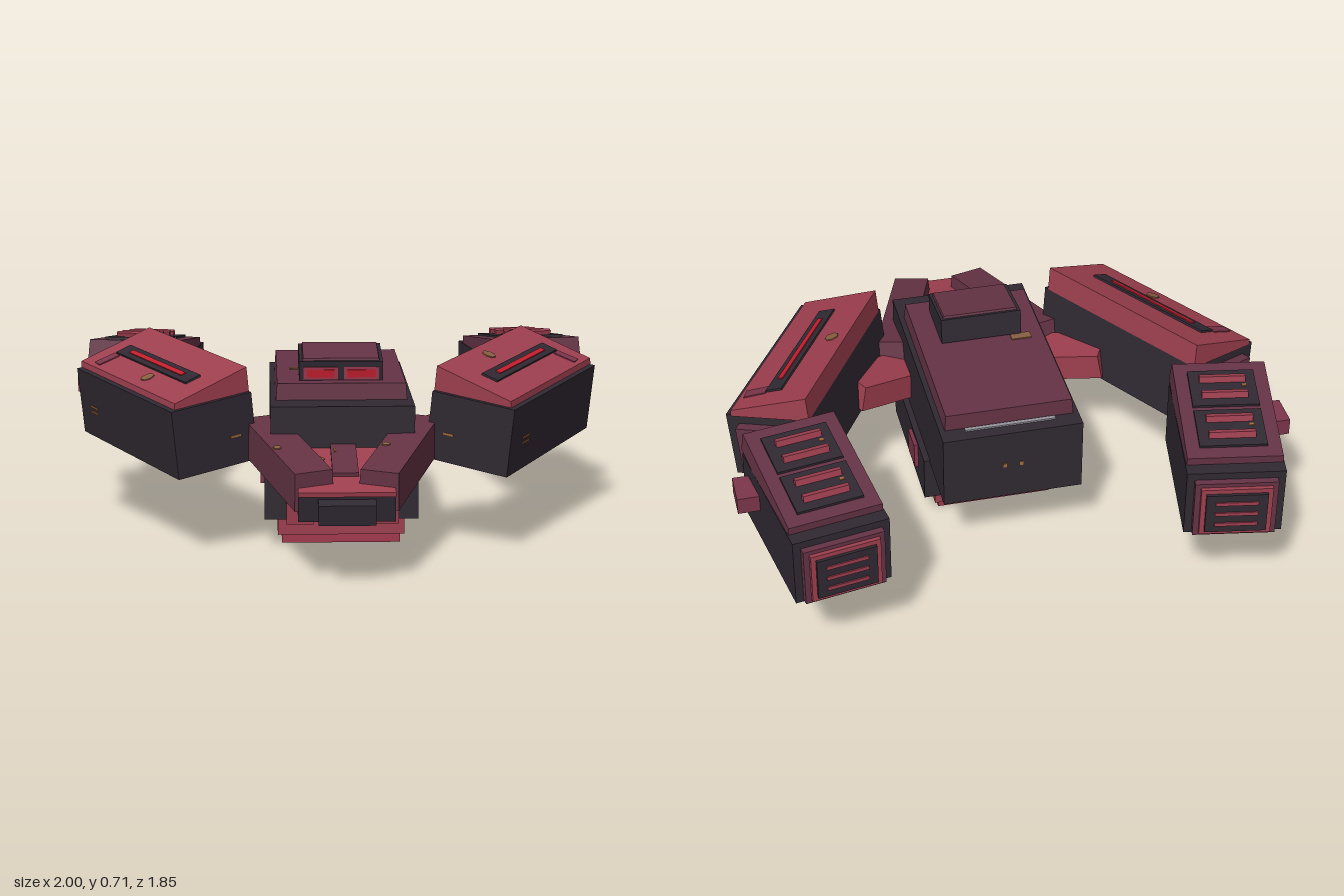
import * as THREE from 'three';

const mat = (name, color) => Object.assign(new THREE.MeshStandardMaterial({ color }), { name });
const dark = mat('charcoal', 0x302932);
const plum = mat('plum', 0x653345);
const maroon = mat('maroon', 0x7c364a);
const red = mat('worn red', 0x9e3f4f);
const crimson = mat('crimson', 0xa2384f);
const glow = mat('bright red', 0xc41f2d);
const grey = mat('joint grey', 0x98949e);
const rust = mat('rust', 0x8a5f42);
const orange = mat('orange mark', 0xa86c34);

// Box whose top face is narrowed by tx and tz
function block(parent, name, material, size, pos, rot = [0, 0, 0], tx = 1, tz = 1) {
  const g = new THREE.BoxGeometry(...size);
  const p = g.attributes.position;
  for (let i = 0; i < p.count; i++) {
    if (p.getY(i) > 0) p.setXYZ(i, p.getX(i) * tx, p.getY(i), p.getZ(i) * tz);
  }
  g.computeVertexNormals();
  const m = new THREE.Mesh(g, material);
  m.name = name;
  m.position.set(...pos);
  m.rotation.set(rot[0], rot[1], rot[2], 'YXZ');
  parent.add(m);
  return m;
}

function group(parent, name, pos, rot = [0, 0, 0]) {
  const g = new THREE.Group();
  g.name = name;
  g.position.set(...pos);
  g.rotation.set(rot[0], rot[1], rot[2], 'YXZ');
  parent.add(g);
  return g;
}

// Flat rust spot lying on an upper face
function spot(parent, pos, r) {
  const m = new THREE.Mesh(new THREE.CylinderGeometry(r, r, 0.008, 7), rust);
  m.name = 'rustSpot';
  m.position.set(...pos);
  parent.add(m);
}

function buildHull(model) {
  const hull = group(model, 'hull', [0, 0, 0]);
  block(hull, 'hullBody', dark, [0.51, 0.28, 0.915], [0, 0.4, 0.019]);
  block(hull, 'upperDeck', plum, [0.47, 0.06, 0.725], [0, 0.57, -0.01], [0, 0, 0], 0.98, 0.99);
  block(hull, 'rearVent', grey, [0.33, 0.006, 0.016], [0, 0.543, -0.386]);
  block(hull, 'deckRust', rust, [0.075, 0.006, 0.035], [-0.145, 0.601, 0.05]);
  for (const x of [-0.03, 0.03]) {
    block(hull, 'rearMark', orange, [0.012, 0.016, 0.004], [x, 0.4, -0.439]);
  }
  // Belly and stepped base
  block(hull, 'belly', dark, [0.555, 0.17, 0.55], [0, 0.188, 0.079]);
  block(hull, 'baseUpper', red, [0.46, 0.07, 0.465], [0, 0.07, 0.078]);
  block(hull, 'baseLower', crimson, [0.43, 0.036, 0.425], [0, 0.018, 0.078]);
  for (const s of [-1, 1]) {
    block(hull, 'bellySidePlate', maroon, [0.04, 0.095, 0.115], [s * 0.272, 0.213, -0.03], [0.08, 0, 0]);
    block(hull, 'bellyFrontBlock', red, [0.095, 0.085, 0.15], [s * 0.152, 0.165, 0.41], [0.09, 0, 0]);
  }
  // Cockpit leaning forward
  const cab = group(hull, 'cockpit', [0, 0.637, 0.18], [0.13, 0, 0]);
  block(cab, 'cockpitShell', dark, [0.3, 0.095, 0.225], [0, 0, 0]);
  block(cab, 'cockpitRoof', plum, [0.28, 0.012, 0.205], [0, 0.05, 0], [0, 0, 0], 0.97, 0.97);
  for (const s of [-1, 1]) {
    block(cab, 'visorFrame', crimson, [0.125, 0.046, 0.006], [s * 0.073, 0.004, 0.113]);
    block(cab, 'visor', glow, [0.1, 0.028, 0.008], [s * 0.073, 0.004, 0.115]);
  }
}

function buildNose(model) {
  const nose = group(model, 'nose', [0, 0.37, 0.3], [0.16, 0, 0]);
  block(nose, 'noseBase', dark, [0.33, 0.095, 0.69], [0, -0.013, 0.23]);
  block(nose, 'noseTopPlate', red, [0.33, 0.016, 0.71], [0, 0.042, 0.232]);
  block(nose, 'noseSpine', plum, [0.09, 0.014, 0.5], [0, 0.056, 0.19]);
  block(nose, 'noseTip', dark, [0.195, 0.072, 0.09], [0, -0.015, 0.588]);
  block(nose, 'noseMark', orange, [0.008, 0.004, 0.03], [-0.03, 0.064, 0.23]);
  spot(nose, [-0.09, 0.052, 0.29], 0.022);
  for (const s of [-1, 1]) {
    const cheek = group(nose, 'noseCheek', [s * 0.2, 0.035, 0.25], [0, -s * 0.315, 0]);
    block(cheek, 'cheekArmor', plum, [0.145, 0.13, 0.6], [0, 0, 0], [0, 0, 0], 0.92, 0.95);
    spot(cheek, [-0.045, 0.065, 0.035], 0.015);
  }
}

// Wedge roof: high on the inner edge, low on the outer edge
function armRoof(arm, s) {
  const shape = new THREE.Shape([[-0.15, 0], [0.15, 0], [0.145, 0.024], [-0.15, 0.092]]
    .map(([x, y]) => new THREE.Vector2(s * x, y)));
  const g = new THREE.ExtrudeGeometry(shape, { depth: 0.765, bevelEnabled: false });
  const roof = new THREE.Mesh(g, red);
  roof.name = 'armRoof';
  roof.position.set(-s * 0.01, 0.123, -0.394);
  arm.add(roof);

  // Details share the slope of the roof
  const top = group(arm, 'roofDetails', [-s * 0.0125, 0.181, -0.02], [0, 0, -s * 0.227]);
  block(top, 'roofSlot', dark, [0.064, 0.009, 0.56], [s * 0.012, 0.003, 0]);
  block(top, 'roofLight', glow, [0.02, 0.009, 0.42], [s * 0.012, 0.007, 0]);
  block(top, 'roofWear', maroon, [0.085, 0.006, 0.045], [s * 0.09, 0.001, -0.27], [0, s * 0.1, 0]);
  spot(top, [-0.09, 0, 0.065], 0.026);
}

function buildFrontArm(model, s) {
  block(model, 'shoulderStrut', red, [0.32, 0.1, 0.17], [s * 0.35, 0.38, 0.19], [0, s * 0.47, s * 0.2]);

  const arm = group(model, 'frontArm', [s * 0.64, 0.45, 0.104], [0.05, -s * 0.513, -s * 0.13]);
  block(arm, 'armHousing', dark, [0.32, 0.25, 0.775], [0, 0, 0]);
  armRoof(arm, s);
  block(arm, 'armRearPlate', plum, [0.23, 0.18, 0.05], [0, 0, -0.4]);
  // Scratches on the outer and front faces
  for (const y of [-0.005, -0.025]) {
    block(arm, 'sideMark', orange, [0.004, 0.006, 0.06], [s * 0.161, y, s > 0 ? 0.245 : -0.27]);
  }
  block(arm, 'frontMark', orange, [0.04, 0.007, 0.004], [-s * 0.08, -0.02, 0.388]);

  // Elbow between the two arm sections
  block(model, 'elbowJoint', grey, [0.14, 0.18, 0.18], [s * 0.79, 0.45, -0.26], [0, -s * 0.17, 0]);
}

function buildRearPod(model, s) {
  const pod = group(model, 'rearPod', [s * 0.737, 0.427, -0.59], [0, s * 0.175, 0]);
  block(pod, 'podHousing', dark, [0.345, 0.26, 0.53], [0, 0, 0]);

  // Sloping roof with two louvred panels
  const roof = group(pod, 'podRoof', [0, 0.152, 0.025], [-0.125, 0, 0]);
  block(roof, 'podRoofPlate', plum, [0.345, 0.075, 0.485], [0, 0, 0], [0, 0, 0], 0.97, 0.985);
  for (const z of [-0.1, 0.1]) {
    block(roof, 'louvrePanel', dark, [0.238, 0.014, 0.178], [0, 0.04, z]);
    for (const dz of [-0.04, 0.04]) {
      block(roof, 'louvreSlat', red, [0.165, 0.024, 0.022], [0, 0.054, z + dz], [0.35, 0, 0]);
    }
    block(roof, 'louvreMark', orange, [0.015, 0.004, 0.01], [-0.075, 0.048, z + 0.01]);
  }

  // Stepped exhaust on the rear end
  block(pod, 'exhaustFrame', plum, [0.29, 0.225, 0.03], [0, -0.01, -0.275]);
  block(pod, 'exhaustRim', red, [0.25, 0.195, 0.02], [0, -0.01, -0.295]);
  block(pod, 'exhaustPanel', dark, [0.215, 0.16, 0.022], [0, -0.01, -0.305]);
  for (const y of [-0.045, 0, 0.045]) {
    block(pod, 'exhaustSlat', red, [0.15, 0.014, 0.008], [0, y - 0.01, -0.317]);
  }

  // Outer side stub and marks
  block(model, 'sideStub', maroon, [0.14, 0.063, 0.122], [s * 0.93, 0.465, -0.472]);
  for (const y of [0.008, -0.006, -0.02]) {
    block(pod, 'podSideMark', orange, [0.004, 0.006, 0.06], [s * 0.173, y - 0.01, 0.165]);
  }
}

export function createModel() {
  const model = new THREE.Group();
  model.name = 'armoredCraft';
  buildHull(model);
  buildNose(model);
  for (const s of [-1, 1]) {
    buildFrontArm(model, s);
    buildRearPod(model, s);
  }
  return model;
}
